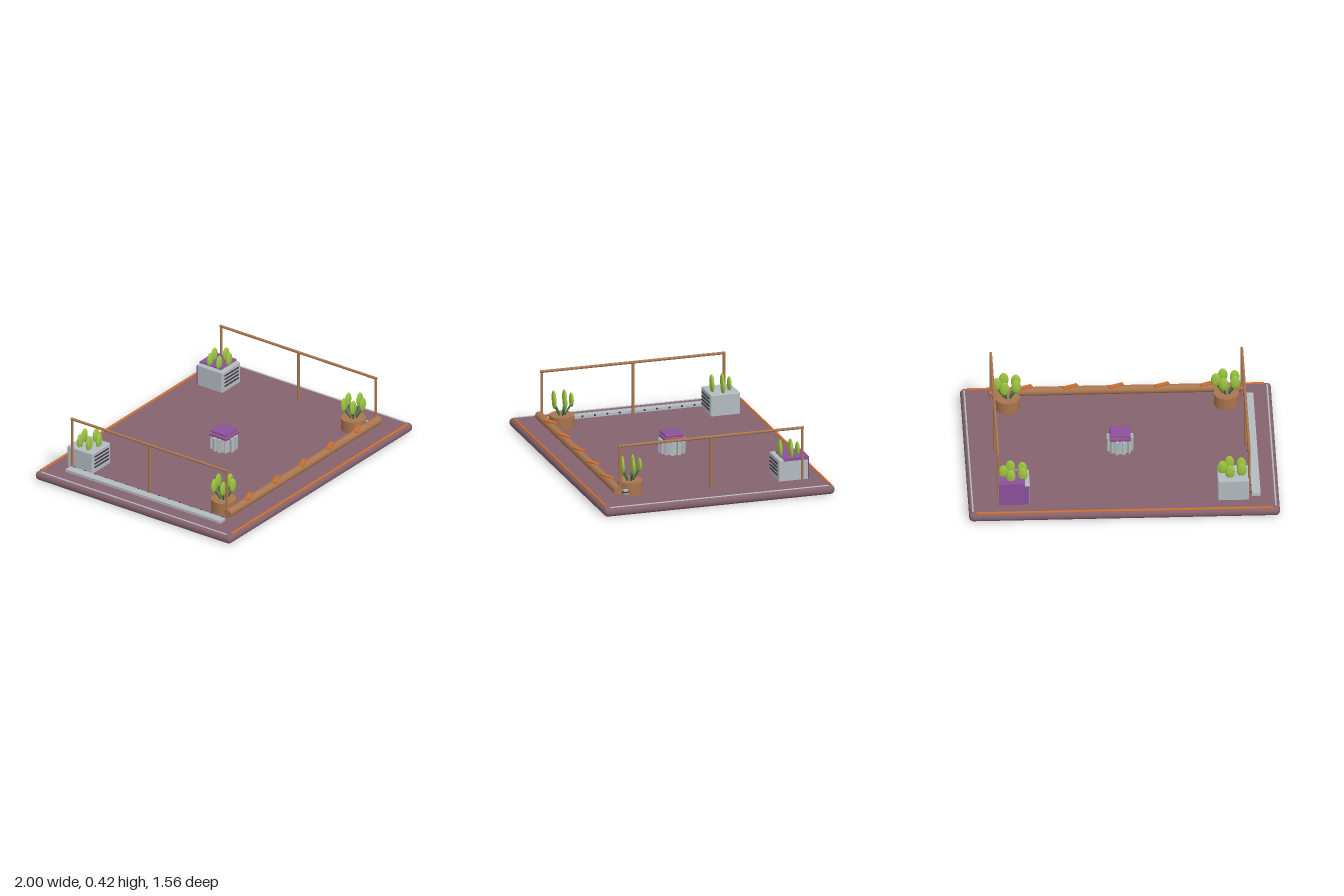
import * as THREE from 'three';
import { RoundedBoxGeometry } from 'three/addons/geometries/RoundedBoxGeometry.js';

const mat = (name, color) => {
  const m = new THREE.MeshStandardMaterial({ color });
  m.name = name;
  return m;
};

export function createModel() {
  const root = new THREE.Group();
  root.name = 'roofTerrace';
  const M = {
    floor: mat('mauve floor', 0x85626d),
    wood: mat('brown wood', 0xa9764f),
    orange: mat('burnt orange', 0xc96d30),
    grey: mat('pale grey', 0xb3bbbf),
    purple: mat('purple', 0x8c509c),
    leaf: mat('leaf green', 0x9bc43f),
    stem: mat('stem green', 0x3f6f4a),
    dark: mat('dark plum', 0x46384a),
  };

  const add = (parent, name, geo, material, x = 0, y = 0, z = 0) => {
    const m = new THREE.Mesh(geo, material);
    m.name = name;
    m.position.set(x, y, z);
    parent.add(m);
    return m;
  };
  const box = (p, name, w, h, d, material, x, y, z) =>
    add(p, name, new THREE.BoxGeometry(w, h, d), material, x, y, z);
  const soft = (p, name, w, h, d, r, material, x, y, z) =>
    add(p, name, new RoundedBoxGeometry(w, h, d, 4, r), material, x, y, z);
  // Round bar between two points
  const bar = (p, name, a, b, r, material, sides = 16) => {
    const A = new THREE.Vector3(...a), B = new THREE.Vector3(...b);
    const dir = B.clone().sub(A);
    const m = add(p, name, new THREE.CylinderGeometry(r, r, dir.length(), sides), material);
    m.position.copy(A).add(B).multiplyScalar(0.5);
    m.quaternion.setFromUnitVectors(new THREE.Vector3(0, 1, 0), dir.normalize());
    return m;
  };
  const group = (name, x = 0, y = 0, z = 0) => {
    const g = new THREE.Group();
    g.name = name;
    g.position.set(x, y, z);
    root.add(g);
    return g;
  };

  // Floor slab with bullnose edge and trims
  soft(root, 'floorSlab', 2, 0.058, 1.56, 0.027, M.floor, 0, 0.029, 0);
  for (const s of [-1, 1]) {
    bar(root, 'longTrim', [-0.955, 0.056, s * 0.757], [0.955, 0.056, s * 0.757], 0.009, M.orange);
    bar(root, 'sideTrim', [s * 0.975, 0.056, -0.74], [s * 0.975, 0.056, 0.74], 0.006, M.grey);
  }

  // Handrails on both sides
  for (const s of [-1, 1]) {
    const rail = group('handrail');
    const x = s * 0.808;
    for (const z of [-0.617, 0, 0.617]) bar(rail, 'railPost', [x, 0.055, z], [x, 0.412, z], 0.009, M.wood);
    bar(rail, 'topRail', [x, 0.41, -0.625], [x, 0.41, 0.625], 0.009, M.wood);
  }

  // Front log with slanted planks
  const log = group('frontLog');
  bar(log, 'logBeam', [-0.82, 0.111, 0.631], [0.82, 0.111, 0.631], 0.028, M.wood, 24);
  for (let i = -2; i <= 2; i++) {
    const plank = box(log, 'plank', 0.1, 0.008, 0.032, M.orange, i * 0.294, 0.141, 0.631);
    plank.rotation.y = 0.4;
  }

  // Low grey step with studs along one side
  const step = group('sideStep');
  box(step, 'stepBoard', 0.057, 0.018, 1.235, M.grey, -0.853, 0.068, 0);
  for (let i = 0; i < 15; i++) {
    add(step, 'stud', new THREE.SphereGeometry(0.007, 10, 8), M.dark, -0.822, 0.074, -0.59 + i * 0.0843);
  }

  // Five-leaf plant: stems fan out from the base
  const plant = (x, z) => {
    const g = group('plant', x, 0, z);
    for (let i = 0; i < 5; i++) {
      const a = (i * Math.PI * 2) / 5;
      const px = 0.068 * Math.cos(a), pz = 0.061 * Math.sin(a);
      bar(g, 'stem', [px * 0.1, 0.12, pz * 0.1], [px, 0.215, pz], 0.006, M.stem, 8);
      const leaf = add(g, 'leaf', new THREE.SphereGeometry(1, 16, 12), M.leaf, px, 0.241, pz);
      leaf.scale.set(0.031, 0.049, 0.013);
    }
  };

  // Round pots at the front, each with a small ring handle
  for (const s of [-1, 1]) {
    const pot = group('plantPot', s * 0.705, 0, 0.515);
    add(pot, 'potBody', new THREE.CylinderGeometry(0.082, 0.08, 0.085, 32), M.wood, 0, 0.0985, 0);
    const hx = s > 0 ? 0.066 : -0.034, hz = s > 0 ? 0.052 : 0.076;
    box(pot, 'handleBlock', 0.026, 0.032, 0.03, M.grey, hx, 0.086, hz);
    const ring = add(pot, 'handleRing', new THREE.TorusGeometry(0.021, 0.005, 8, 20), M.dark, hx, 0.086, hz);
    ring.rotation.x = Math.PI / 2;
    plant(s * 0.705, 0.515);
  }

  // Square vented planters at the back
  for (const s of [-1, 1]) {
    const planter = group('ventedPlanter', s * 0.705, 0, -0.56);
    soft(planter, 'planterBody', 0.2, 0.15, 0.2, 0.008, M.grey, 0, 0.127, 0);
    for (let i = 0; i < 4; i++) {
      box(planter, 'ventSlat', 0.15, 0.009, 0.008, M.dark, 0, 0.097 + i * 0.025, 0.101);
    }
    if (s > 0) {
      // Purple cover draped over the top and back
      box(planter, 'coverTop', 0.17, 0.02, 0.172, M.purple, 0.017, 0.201, -0.018);
      box(planter, 'coverBack', 0.198, 0.138, 0.006, M.purple, 0.001, 0.125, -0.102);
    }
    plant(s * 0.705, -0.553);
  }

  // Fluted central stool with a cushion
  const stool = group('centreStool');
  add(stool, 'stoolDrum', new THREE.CylinderGeometry(0.072, 0.072, 0.092, 32), M.grey, 0, 0.102, 0);
  for (let i = 0; i < 12; i++) {
    const a = ((i + 0.5) * Math.PI) / 6;
    const rib = box(stool, 'stoolRib', 0.022, 0.096, 0.02, M.grey, 0.077 * Math.cos(a), 0.104, 0.077 * Math.sin(a));
    rib.rotation.y = -a;
  }
  soft(stool, 'cushionBase', 0.136, 0.022, 0.136, 0.006, M.purple, 0, 0.157, 0);
  box(stool, 'cushionBand', 0.11, 0.012, 0.11, M.orange, 0, 0.171, 0);
  soft(stool, 'cushionTop', 0.126, 0.016, 0.126, 0.006, M.purple, 0, 0.183, 0);

  return root;
}
